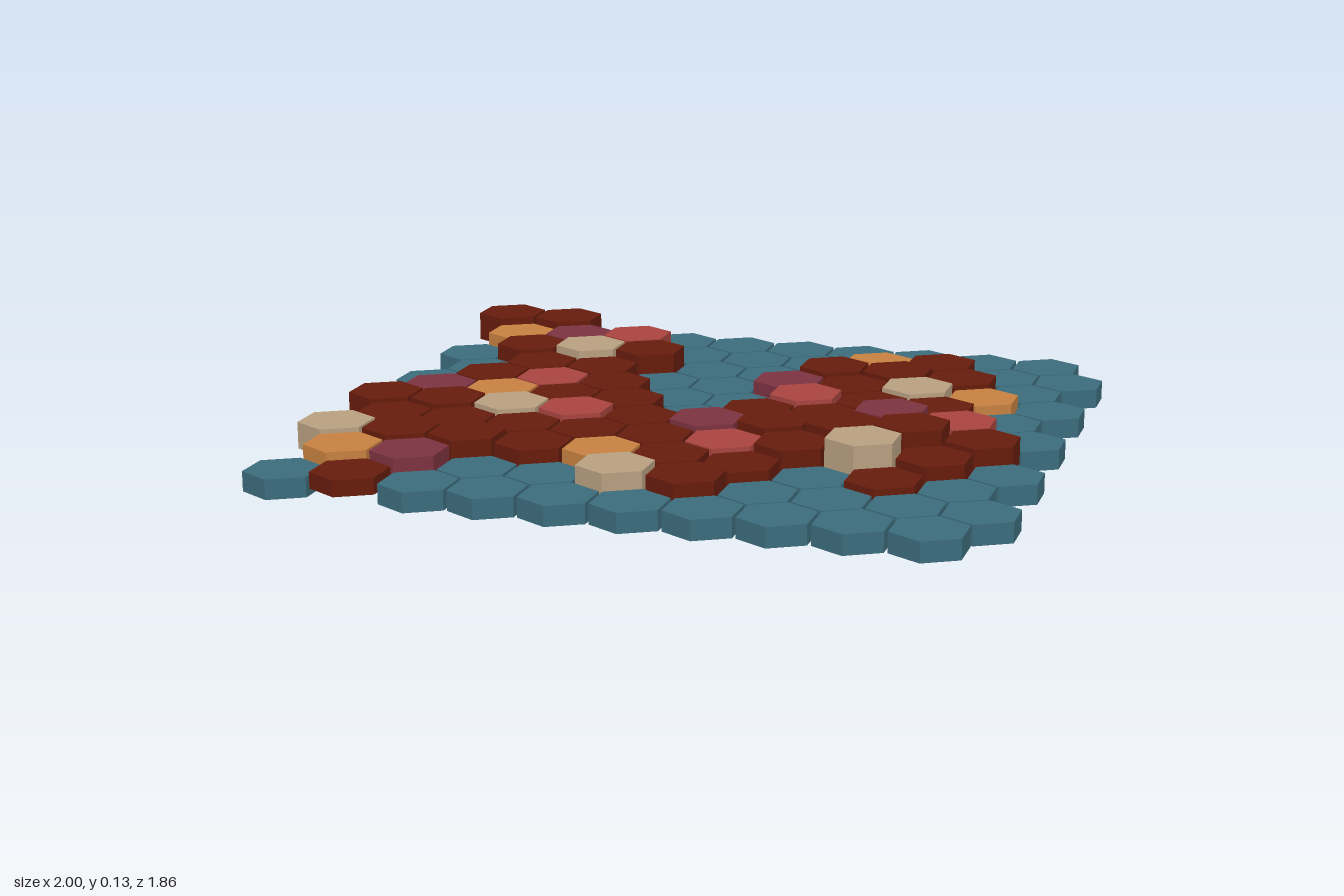
import * as THREE from 'three';

// Tile kinds per row, back to front: b sea, r earth, o orange, t sand, p plum, k rose
const KINDS = [
  'rrbbbbbbbb', 'opkbbborbb', 'brtrbbrrrb', 'brrbbprtob', 'brkrbbkrrb', 'porrbrrpkb',
  'rrtkrprrrr', 'rrrrrkrtrb', 'trrrorrbrb', 'opbbtrbbbb', 'brbbbbbbbb',
];
// Top of each land tile: 0.05 plus this many hundredths
const TOPS = [
  '66--------', '456---34--', '-566--554-', '-44--4453-', '-444--544-', '4444-4475-',
  '5555456785', '444444584-', '5554443-2-', '44--54----', '-2--------',
];
const COLORS = { b: 0x3c6c7c, r: 0x661c0c, o: 0xc68040, t: 0xb89f80, p: 0x7c3240, k: 0xa84440 };
const NAMES = { b: 'seaTile', r: 'earthTile', o: 'orangeTile', t: 'sandTile', p: 'plumTile', k: 'roseTile' };

const RADIUS = 0.105, COLUMN = 0.1914, ROW = 0.1646;
const SEA_TOP = 0.055, LAND_BOTTOM = 0.025;

export function createModel() {
  const model = new THREE.Group();
  model.name = 'hexTileMap';
  const hexagon = new THREE.CylinderGeometry(RADIUS, RADIUS, 1, 6);
  const materials = {};
  for (const kind in COLORS) {
    materials[kind] = new THREE.MeshStandardMaterial({ color: COLORS[kind], flatShading: true });
  }

  KINDS.forEach((kinds, row) => {
    const group = new THREE.Group();
    group.name = `tileRow${row + 1}`;
    group.position.z = (row - 5) * ROW;
    [...kinds].forEach((kind, column) => {
      const sea = kind === 'b';
      const bottom = sea ? 0 : LAND_BOTTOM;
      const top = sea ? SEA_TOP : 0.05 + Number(TOPS[row][column]) / 100;
      const tile = new THREE.Mesh(hexagon, materials[kind]);
      tile.name = NAMES[kind];
      tile.scale.y = top - bottom;
      // Every second row is shifted by half a tile
      tile.position.set((column - 4.75 + (row % 2) * 0.5) * COLUMN, (top + bottom) / 2, 0);
      group.add(tile);
    });
    model.add(group);
  });
  return model;
}
